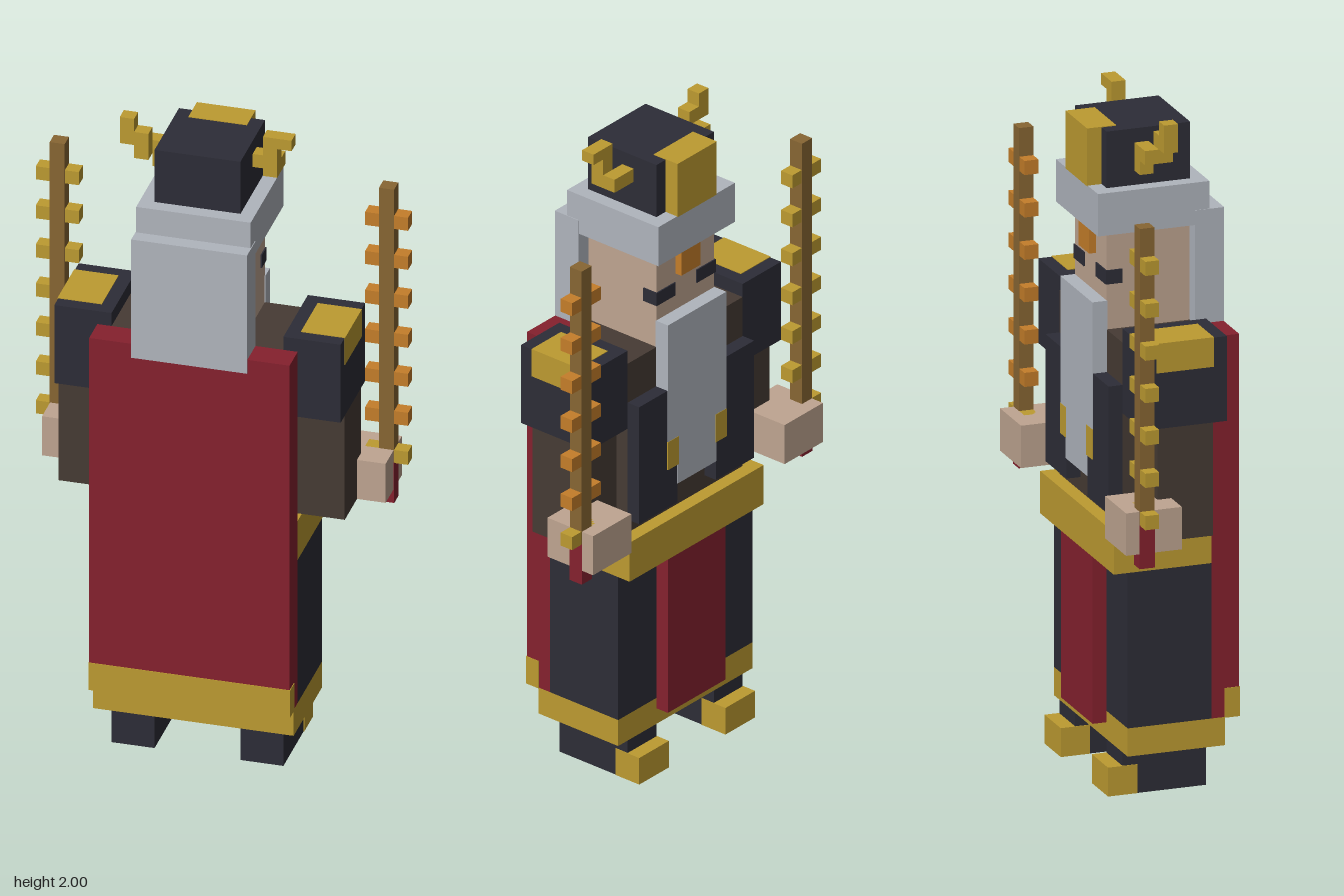
import * as THREE from 'three';

const U = 2 / 47; // size of one block

function material(name, color) {
  const m = new THREE.MeshStandardMaterial({ color });
  m.name = name;
  return m;
}

export function createModel() {
  const dark = material('charcoal', 0x2d2d37);
  const brown = material('dark brown', 0x463b34);
  const red = material('crimson', 0x85212e);
  const gold = material('gold', 0xbd9b31);
  const grey = material('silver hair', 0xb0b5bd);
  const skin = material('skin', 0xbfa591);
  const orange = material('amber', 0xc57e2a);
  const wood = material('wood', 0x886633);

  const root = new THREE.Group();
  root.name = 'robedElder';

  // Box between two block-grid corners; grow lifts overlays off the face below
  function box(name, mat, [x0, x1], [y0, y1], [z0, z1], grow = 0, parent = root) {
    const g = 2 * grow;
    const geo = new THREE.BoxGeometry(
      Math.abs(x1 - x0) * U + g, (y1 - y0) * U + g, (z1 - z0) * U + g);
    const mesh = new THREE.Mesh(geo, mat);
    mesh.position.set((x0 + x1) / 2 * U, (y0 + y1) / 2 * U, (z0 + z1) / 2 * U);
    mesh.name = name;
    parent.add(mesh);
    return mesh;
  }

  // Robe, belt and apron
  box('robe', dark, [-7, 7], [5, 16], [-3, 3]);
  box('robeHem', gold, [-7, 7], [3, 5], [-3, 4]);
  box('apron', red, [-3, 3], [4.2, 16], [-4, -3]);
  box('belt', gold, [-7, 7], [16, 19], [-4, 3]);
  box('torso', brown, [-6, 6], [19, 32], [-3, 3]);

  // Cape
  box('cape', red, [-7, 7], [5, 32], [3, 5]);
  box('capeHem', gold, [-7, 7], [5, 7], [4, 5], 0.002);

  // Head, hair and beard
  box('head', skin, [-3, 3], [32, 39], [-3, 3]);
  box('hairCap', grey, [-4, 4], [39, 42], [-4, 4]);
  box('backHair', grey, [-4, 4], [31, 40], [3, 5], 0.002);
  box('beard', grey, [-3, 3], [25, 34], [-4, -3], 0.002);
  box('beardTip', grey, [-2, 2], [21.5, 25], [-4, -3], 0.002);
  box('browGem', orange, [-1, 1], [36.8, 38.8], [-3.5, -3]);

  // Hat with crest plate
  box('hat', dark, [-3, 3], [42, 46], [-3, 3]);
  box('hatPlate', gold, [-2, 2], [42, 46], [-4, -2], 0.002);

  for (const s of [1, -1]) {
    const side = new THREE.Group();
    side.name = s > 0 ? 'leftSide' : 'rightSide';
    root.add(side);
    const part = (name, mat, [a, b], y, z, grow = 0) =>
      box(name, mat, [a * s, b * s], y, z, grow, side);

    // Leg and shoe tip
    part('leg', dark, [3, 6], [0, 3], [-3, 3]);
    part('shoeTip', gold, [3, 6], [0.05, 2], [-4, -2], 0.002);

    // Arm, shoulder guard and hand
    part('sleeve', brown, [6, 10], [19, 27], [-2, 2]);
    part('shoulder', dark, [6, 10], [27, 33], [-3, 3]);
    part('shoulderPad', gold, [7, 10], [31, 33], [-2, 2], 0.002);
    part('hand', skin, [8, 12], [19, 22], [-5, -1]);

    // Chest panel, beard bead and eye
    part('chestPanel', dark, [2, 6], [20, 29], [-4, -3]);
    part('beardBead', gold, [2, 3], [23, 25], [-4, -3], 0.003);
    part('eye', dark, [1.2, 3], [35.3, 36.1], [-3, -2], 0.004);

    // Staff with crossbars
    part('staff', wood, [11, 12], [21, 42], [-4, -3], 0.001);
    part('staffGrip', red, [11, 12], [18, 21], [-4, -3], 0.002);
    for (let y = 21; y <= 39; y += 3) {
      const mat = s > 0 && y > 21 ? orange : gold;
      part('crossbarInner', mat, [10, 11], [y, y + 1], [-4, -3]);
      part('crossbarOuter', mat, [12, 13], [y, y + 1], [-4, -3]);
    }
  }

  // Stepped hat horns
  box('leftHornBase', gold, [3, 5], [44, 45], [-1, 0]);
  box('leftHornStem', gold, [4, 5], [44, 47], [0, 1]);
  box('leftHornTip', gold, [5, 6], [46.2, 47], [0, 1]);
  box('rightHornBase', gold, [-4, -3], [43, 45], [-1, 0]);
  box('rightHornMiddle', gold, [-5, -4], [44, 45], [-1, 0]);
  box('rightHornStem', gold, [-5, -4], [44, 46], [0, 1]);
  box('rightHornTip', gold, [-6, -5], [45, 47], [0, 1]);

  return root;
}
